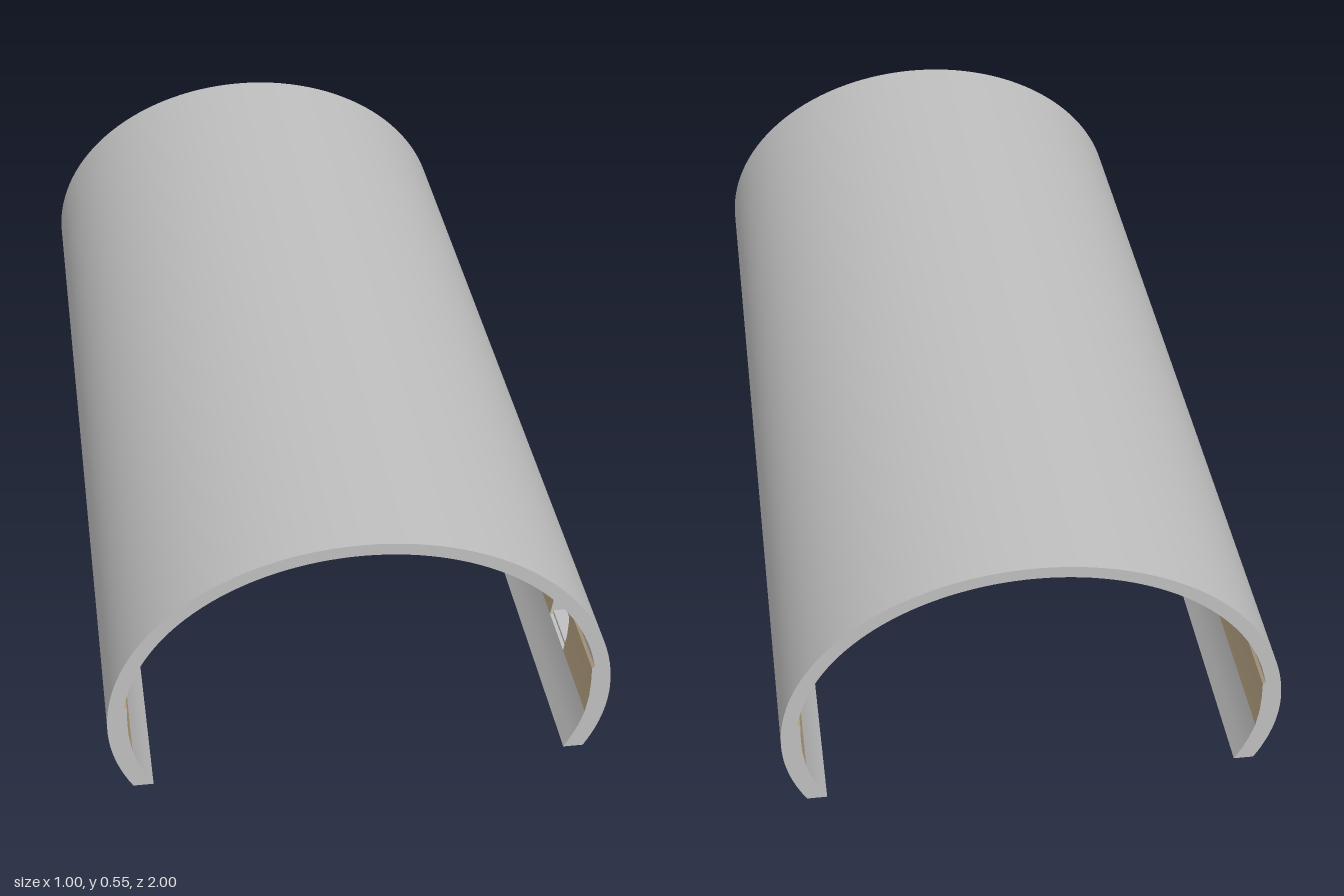
import * as THREE from 'three';
import { toCreasedNormals } from 'three/addons/utils/BufferGeometryUtils.js';

const CY = 0.155; // height of the widest point

// extrude an outline of [x, y] points between two z positions
function extrude(points, z0, z1) {
  const shape = new THREE.Shape(points.map(([x, y]) => new THREE.Vector2(x, y)));
  const geo = new THREE.ExtrudeGeometry(shape, { depth: z1 - z0, bevelEnabled: false });
  geo.translate(0, 0, z0);
  return toCreasedNormals(geo, 0.3);
}

// points of an ellipse arc, angles measured from +x
function arc(a, b, t0, t1, n) {
  return Array.from({ length: n + 1 }, (_, i) => {
    const t = t0 + (t1 - t0) * i / n;
    return [a * Math.cos(t), CY + b * Math.sin(t)];
  });
}

const mirror = (pts) => pts.map(([x, y]) => [-x, y]).reverse();

export function createModel() {
  const grey = new THREE.MeshStandardMaterial({ color: 0xbfbfbf });
  grey.name = 'shell grey';
  const tan = new THREE.MeshStandardMaterial({ color: 0xbaa585 });
  tan.name = 'strip tan';

  const group = new THREE.Group();
  group.name = 'archedCover';

  // Half outline of the shell: outer curve, foot, strip groove, inner curve
  const outer = arc(0.5, 0.397, Math.PI / 2, 0, 32)
    .concat(arc(0.5, 0.374, 0, -Math.asin(CY / 0.374), 10).slice(1));
  const foot = [[0.415, 0], [0.43, 0.028], [0.443, 0.058], [0.453, 0.09]];
  const groove = [[0.487, 0.09], [0.494, 0.2], [0.465, 0.205]];
  const inner = arc(0.469, 0.372, Math.asin(0.05 / 0.372), Math.PI / 2, 32).slice(1);
  const half = [...outer, ...foot, ...groove, ...inner];
  const left = half.slice(1, -1);
  const outline = [half[0], ...left, half[half.length - 1], ...mirror(left)];
  const shell = new THREE.Mesh(extrude(outline, -1, 1), grey);
  shell.name = 'shell';
  group.add(shell);

  // Liner strips fill the grooves, leaving one open pocket near the front
  const strip = [[0.487, 0.09], [0.494, 0.2], [0.465, 0.205], [0.46, 0.2],
    [0.4605, 0.165], [0.459, 0.13], [0.453, 0.09]];
  for (const [side, pts] of [['left', strip], ['right', mirror(strip)]]) {
    for (const [part, z0, z1] of [['Long', -1, 0.69], ['Short', 0.81, 1]]) {
      const mesh = new THREE.Mesh(extrude(pts, z0, z1), [grey, tan]);
      mesh.name = side + part + 'Strip';
      group.add(mesh);
    }
    // Narrow sill and lintel closing the pocket opening
    for (const [part, y] of [['Sill', 0.095], ['Lintel', 0.198]]) {
      const bar = new THREE.Mesh(new THREE.BoxGeometry(0.03, 0.008, 0.12), grey);
      bar.name = side + 'Pocket' + part;
      bar.position.set((side === 'left' ? 1 : -1) * 0.475, y, 0.75);
      group.add(bar);
    }
  }
  return group;
}
